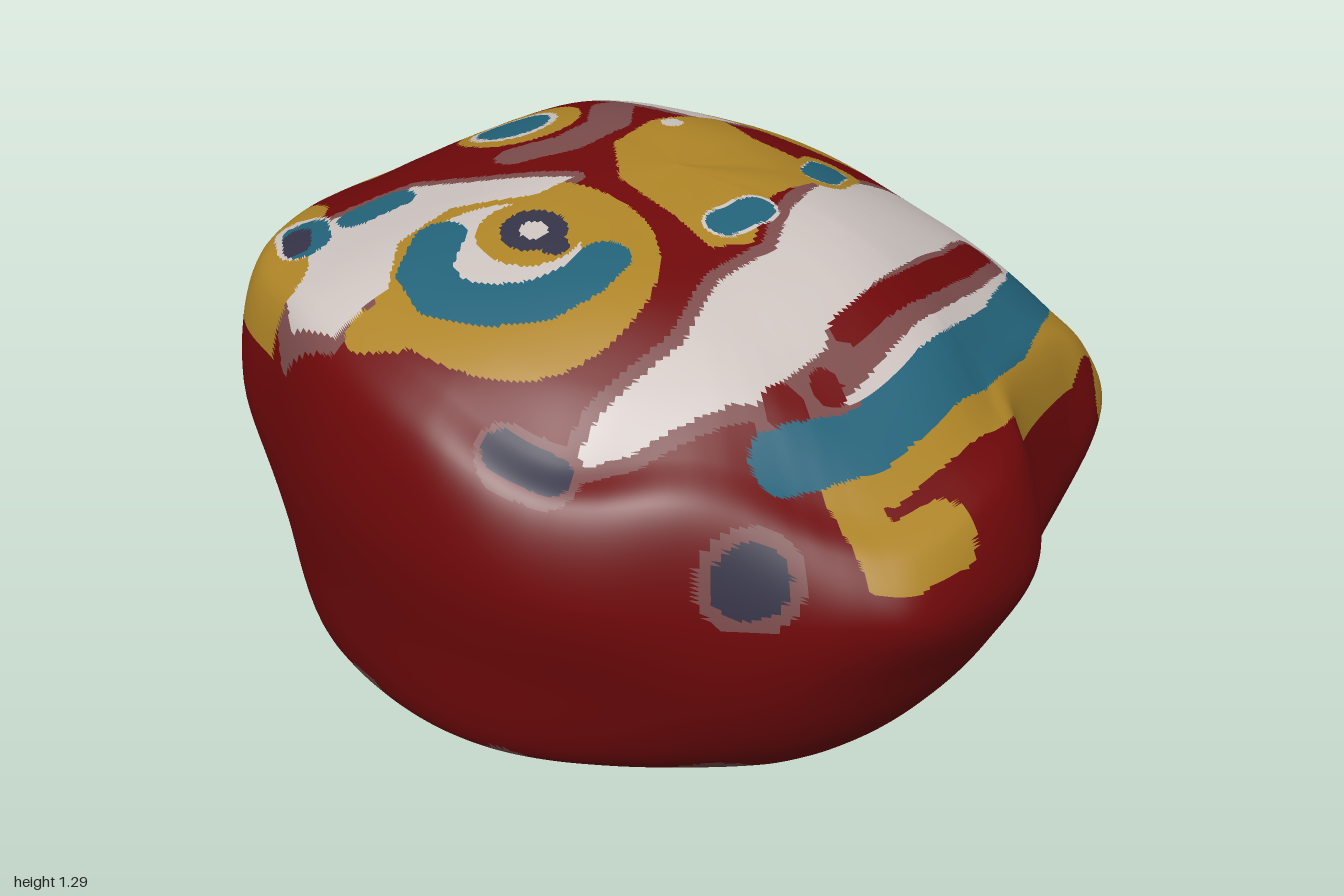
import * as THREE from 'three';

const COLOURS = { red: 0x6f080a, white: 0xcdc4c0, ochre: 0xae8426, teal: 0x23637a, navy: 0x353347, mauve: 0x7d4c4c };

// widest outline of the stone, from the back towards its left: x, y, z
const OUTLINE = [
  [0, .6, -.93], [.22, .6, -.9], [.48, .62, -.88], [.6, .63, -.75], [.64, .63, -.6], [.75, .62, -.34],
  [.88, .64, -.25], [.96, .67, -.11], [1, .72, .2], [.94, .74, .32], [.78, .75, .5], [.6, .77, .72],
  [.43, .8, .84], [.24, .84, .9], [0, .85, .92], [-.26, .85, .88], [-.48, .85, .82], [-.64, .85, .61],
  [-.75, .84, .38], [-.885, .83, .1], [-.98, .83, -.1], [-1, .83, -.27], [-.93, .8, -.44], [-.66, .72, -.67],
  [-.4, .64, -.84], [-.21, .6, -.91]];

// how far the domed top falls away along x and along z
const DROP_X = [[-1, .42], [-.95, .38], [-.8, .27], [-.7, .17], [-.5, .06], [-.14, 0], [.3, .05], [.45, .1], [.55, .14], [.62, .18], [.7, .26], [.78, .35], [.9, .42], [1, .49]];
const DROP_Z = [[-.93, .6], [-.87, .5], [-.75, .35], [-.6, .22], [-.4, .1], [-.2, .02], [-.1, 0], [.2, .02], [.6, .07], [.8, .13], [.87, .2], [.93, .3]];

function lookup(table, v) {
  for (let i = 1; i < table.length; i++) {
    const [a, ya] = table[i - 1], [b, yb] = table[i];
    if (v <= b) return ya + (yb - ya) * Math.max(0, (v - a) / (b - a));
  }
  return table[table.length - 1][1];
}
const smooth = (table, v) => [-.08, -.04, 0, .04, .08].reduce((sum, d) => sum + lookup(table, v + d) / 5, 0);
const hollow = (x, z, cx, cz, depth) => depth * Math.exp(-((x - cx) ** 2 + (z - cz) ** 2) / .055);
const domeHeight = (x, z) => 1.305 - smooth(DROP_X, x) - smooth(DROP_Z, z)
  - hollow(x, z, .48, .72, .11) - hollow(x, z, .72, -.4, .06);

// painted shapes seen from above: colour, brush radius, points x,z, filled or not
const PAINT = [];
const stroke = (colour, r, ...p) => PAINT.push({ colour, r, p, fill: false });
const fill = (colour, r, ...p) => PAINT.push({ colour, r, p, fill: true });

// broad white band with its red line, teal stripe and ochre edge
const band = [[-.16, -.88], [.14, -.91], [.27, -.8], [.46, -.6], [.58, -.4], [.66, -.16], [.69, .05], [.66, .22], [.59, .35],
  [.54, .56], [.47, .66], [.44, .56], [.44, .35], [.36, .19], [.35, .03], [.27, -.08], [.19, -.24], [.14, -.4], [.08, -.64], [-.01, -.8]];
fill('mauve', .03, ...band);
fill('white', 0, ...band);
stroke('mauve', .05, [.37, -.57], [.45, -.42], [.53, -.2], [.6, .05]);
stroke('red', .03, [.36, -.57], [.44, -.42], [.52, -.2], [.57, .04]);
stroke('mauve', .04, [.62, .08], [.65, .3]);
stroke('red', .035, [.64, .15]);
stroke('red', .045, [.64, .26]);
stroke('ochre', .055, [.47, -.8], [.56, -.62], [.65, -.38], [.73, -.2], [.77, 0], [.79, .15]);
stroke('ochre', .09, [.5, -.82]);
stroke('ochre', .055, [.92, .08], [.92, .24], [.8, .23]);
stroke('teal', .05, [.17, -.86], [.32, -.8], [.48, -.61], [.59, -.42], [.67, -.2], [.72, 0], [.74, .14], [.7, .34]);

// back swirl
const backWhite = [[-.73, -.58], [-.61, -.67], [-.55, -.59], [-.5, -.45], [-.35, -.35], [-.16, -.33], [-.2, -.22], [-.4, -.18], [-.56, -.17], [-.68, -.25], [-.76, -.42]];
fill('mauve', .03, ...backWhite);
stroke('ochre', .24, [-.27, -.55]);
stroke('ochre', .07, [-.49, -.63]);
fill('white', 0, ...backWhite);
stroke('white', .05, [-.4, -.53], [-.33, -.6], [-.24, -.61]);
stroke('teal', .033, [-.46, -.6], [-.41, -.65], [-.33, -.68], [-.25, -.68], [-.19, -.64], [-.16, -.57]);
stroke('navy', .063, [-.47, -.54], [-.45, -.49]);
stroke('navy', .03, [-.44, -.44], [-.35, -.42]);
stroke('navy', .06, [-.32, -.43], [-.27, -.43]);
stroke('white', .027, [-.29, -.42]);

// centre patch and its spots
stroke('mauve', .05, [-.37, -.12], [-.27, -.03], [-.25, .1], [-.3, .2]);
fill('ochre', .01, [-.18, -.27], [-.05, -.25], [.05, -.3], [.17, -.24], [.2, -.08], [.3, .06], [.27, .13], [.15, .12], [-.03, .12], [-.16, .03], [-.2, -.1]);
stroke('ochre', .065, [.08, -.38], [.14, -.28]);
stroke('white', .045, [.09, -.36], [.14, -.29]);
stroke('teal', .042, [.09, -.36], [.14, -.29]);
stroke('white', .05, [.23, -.02], [.23, .06]);
stroke('teal', .042, [.23, -.02], [.23, .06]);
stroke('white', .025, [-.17, -.13]);

// front swirl
const frontWhite = [[-.1, .2], [-.26, .33], [-.38, .42], [-.42, .6], [-.33, .78], [-.2, .85], [-.06, .83], [-.06, .7], [-.17, .6], [-.2, .45], [-.1, .3]];
fill('mauve', .025, ...frontWhite);
stroke('ochre', .29, [.06, .47]);
stroke('ochre', .05, [.05, .74], [-.01, .78]);
fill('white', 0, ...frontWhite);
stroke('white', .17, [.01, .48]);
stroke('teal', .055, [.17, .33], [.19, .4], [.18, .5], [.12, .59], [.04, .64], [-.05, .62], [-.12, .53]);
stroke('ochre', .11, [0, .39]);
stroke('navy', .07, [0, .38]);
stroke('navy', .03, [-.04, .37], [.07, .38]);
stroke('white', .03, [0, .38]);
stroke('teal', .045, [-.36, .48], [-.37, .57]);

// spots along the model's right-hand edge
stroke('ochre', .14, [-.47, .07]);
stroke('white', .1, [-.48, .08]);
stroke('teal', .083, [-.48, .08]);
stroke('ochre', .065, [-.78, .11], [-.69, .35]);
stroke('navy', .04, [-.78, .17], [-.73, .32]);
stroke('teal', .028, [-.77, .18], [-.73, .3]);
stroke('ochre', .08, [-.86, -.44], [-.79, -.47]);
stroke('ochre', .06, [-.92, -.14], [-.8, -.15]);
stroke('white', .07, [-.97, -.2], [-.91, -.36]);
stroke('teal', .05, [-.88, -.37], [-.84, -.28]);
stroke('white', .05, [-.66, -.3], [-.61, -.25]);
stroke('teal', .045, [-.66, -.3], [-.61, -.25]);
stroke('ochre', .1, [-.55, .65], [-.48, .74], [-.36, .82]);
stroke('white', .06, [-.45, .66], [-.39, .69]);
stroke('teal', .05, [-.44, .66], [-.38, .69]);
stroke('navy', .03, [-.44, .68], [-.39, .71]);
stroke('mauve', .06, [.38, .74], [.46, .69]);
stroke('navy', .04, [.37, .74], [.46, .69]);

// spots on the walls: colour, radius, x, y, z
const SPOTS = [
  ['mauve', .11, .78, .83, .47], ['navy', .08, .78, .83, .47], ['mauve', .14, -.58, .93, .7],
  ['mauve', .09, -.8, .74, .27], ['mauve', .09, -.78, .61, .27], ['white', .025, -.8, .69, .27],
  ['mauve', .06, -.3, .37, .85], ['mauve', .06, 0, .31, .84], ['mauve', .06, .35, .28, .75],
  ['mauve', .09, .6, .23, .42], ['mauve', .08, .62, .2, .25],
  ['ochre', .1, .55, .7, -.82], ['mauve', .07, .34, .62, -.89], ['navy', .05, .34, .62, -.89], ['teal', .025, .34, .62, -.89],
  ['mauve', .06, -.22, .66, -.89], ['mauve', .05, -.31, .67, -.87], ['navy', .035, -.22, .66, -.9]];

function covers({ r, p, fill }, x, z) {
  let inside = false;
  const n = p.length;
  if (n === 1) return Math.hypot(x - p[0][0], z - p[0][1]) < r;
  for (let i = fill ? 0 : 1; i < n; i++) {
    const [ax, az] = p[(i + n - 1) % n], [bx, bz] = p[i];
    const dx = bx - ax, dz = bz - az;
    const t = THREE.MathUtils.clamp(((x - ax) * dx + (z - az) * dz) / (dx * dx + dz * dz), 0, 1);
    if (Math.hypot(x - ax - t * dx, z - az - t * dz) < r) return true;
    if (fill && (az > z) !== (bz > z) && x < ax + dx * (z - az) / dz) inside = !inside;
  }
  return inside;
}

function colourAt(x, y, z, onTop) {
  let colour = 'red';
  for (const [c, r, sx, sy, sz] of SPOTS) if (Math.hypot(x - sx, y - sy, z - sz) < r) colour = c;
  if (onTop) for (const shape of PAINT) if (covers(shape, x, z)) colour = shape.colour;
  return colour;
}

export function createModel() {
  const group = new THREE.Group();
  const names = Object.keys(COLOURS);
  const materials = names.map(name => {
    const m = new THREE.MeshStandardMaterial({ color: COLOURS[name] });
    m.name = name;
    return m;
  });

  // stone body: one meridian curve from crown to base for each step round the outline
  const outline = new THREE.CatmullRomCurve3(OUTLINE.map(p => new THREE.Vector3(...p)), true);
  const around = 360, topRows = 150, rows = 190, paintedRows = 137;
  const positions = [], rim = [];
  for (let j = 0; j < around; j++) {
    const u = j / around, w = outline.getPoint(u);
    // the lower wall follows a softened outline, so the side lump fades out below
    const soft = new THREE.Vector3();
    for (const d of [-.05, -.025, 0, .025, .05]) soft.addScaledVector(outline.getPoint((u + d + 1) % 1), .2);
    soft.multiplyScalar(1.03);
    const side = soft.x ** 2 / (soft.x ** 2 + soft.z ** 2), end = 1 - side;
    const blend = (sides, front, back) => side * sides + end * (w.z > 0 ? front : back);
    const dome = s => new THREE.Vector3(w.x * s, Math.max(w.y + .04, domeHeight(w.x * s, w.z * s)), w.z * s);
    const wall = (s, y) => new THREE.Vector3(soft.x * s, y, soft.z * s);
    const lowScale = blend(.83, .92, .83), lowY = blend(.34, .32, .15);
    const baseScale = blend(.56, .74, .56);
    const meridian = new THREE.CatmullRomCurve3([
      ...[0, .25, .5, .7, .85, .94].map(dome), w,
      wall(lowScale + (1 - lowScale) * .66, (w.y + lowY) / 2), wall(lowScale, lowY),
      wall(blend(.66, .83, .7), blend(.17, .27, 0)),
      wall(baseScale, .122 + .165 * soft.z * baseScale)]);
    for (let i = 0; i <= rows; i++) {
      const t = i < topRows ? .6 * i / topRows : .6 + .4 * (i - topRows) / (rows - topRows);
      positions.push(...meridian.getPoint(t).toArray());
    }
    rim.push(positions.slice(-3));
  }

  // sort the triangles into one group for each paint colour
  const lists = names.map(() => []);
  const addTriangle = (row, ...t) => {
    const c = [0, 1, 2].map(k => (positions[t[0] * 3 + k] + positions[t[1] * 3 + k] + positions[t[2] * 3 + k]) / 3);
    lists[names.indexOf(colourAt(...c, row < paintedRows))].push(...t);
  };
  for (let j = 0; j < around; j++) {
    for (let i = 0; i < rows; i++) {
      const a = j * (rows + 1) + i, b = ((j + 1) % around) * (rows + 1) + i;
      if (i > 0) addTriangle(i, a, b, a + 1);
      addTriangle(i, b, b + 1, a + 1);
    }
  }
  const body = new THREE.BufferGeometry();
  body.setAttribute('position', new THREE.Float32BufferAttribute(positions, 3));
  body.setIndex(lists.flat());
  let start = 0;
  lists.forEach((list, k) => {
    body.addGroup(start, list.length, k);
    start += list.length;
  });
  body.computeVertexNormals();
  const stone = new THREE.Mesh(body, materials);
  stone.name = 'paintedStone';
  group.add(stone);

  // flat sloping base
  const fan = rim.flatMap((p, j) => [...p, ...rim[(j + 1) % around], 0, .122, 0]);
  const baseGeometry = new THREE.BufferGeometry();
  baseGeometry.setAttribute('position', new THREE.Float32BufferAttribute(fan, 3));
  baseGeometry.computeVertexNormals();
  const bottom = new THREE.Mesh(baseGeometry, materials[0]);
  bottom.name = 'base';
  group.add(bottom);
  return group;
}
